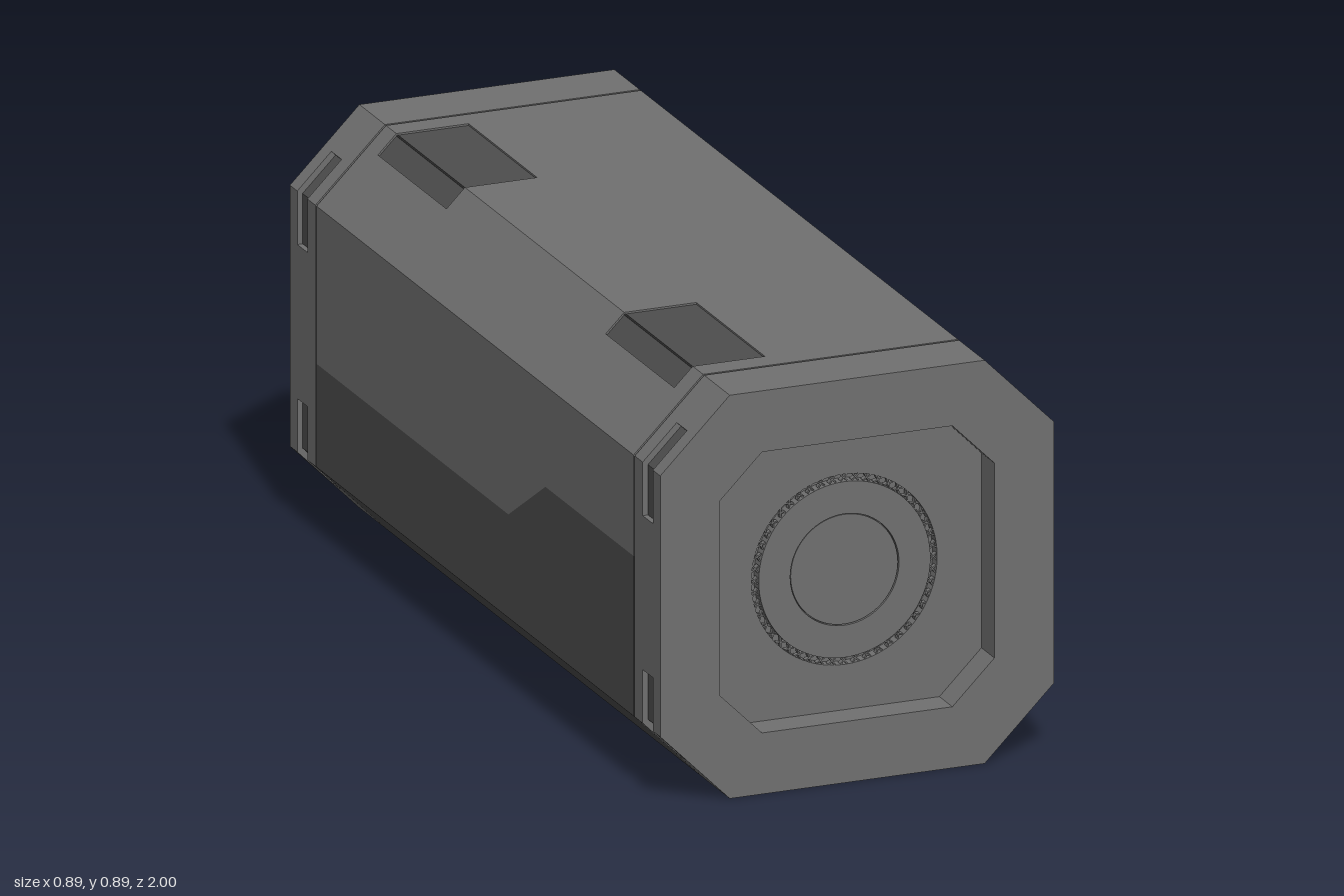
import * as THREE from 'three';
import { mergeGeometries } from 'three/addons/utils/BufferGeometryUtils.js';

const H = 0.445, C = 0.288, LOW = 0.157, HIGH = 0.733, END = 0.856;
const material = (color) => new THREE.MeshStandardMaterial({ color, flatShading: true });

export function createModel() {
  const model = new THREE.Group();
  const light = material(0x707070), dark = material(0x4e4e4e), glass = material(0xa9c4cc);

  const add = (name, geometry, mat) => {
    const mesh = new THREE.Mesh(geometry, mat);
    mesh.name = name;
    model.add(mesh);
    return mesh;
  };
  const toShape = (pts) => new THREE.Shape(pts.map(([x, y]) => new THREE.Vector2(x, y)));

  // Octagon outline around the long axis, starting at the lower corner of the +x side
  const octagon = (h, c) => [[h, -c], [h, c], [c, h], [-c, h], [-h, c], [-h, -c], [-c, -h], [c, -h]];
  const corners = octagon(H, C);

  // Slab of a cross-section between two depths
  const slab = (name, shape, z0, z1, mat) => {
    const g = new THREE.ExtrudeGeometry(shape, { depth: z1 - z0, bevelEnabled: false, curveSegments: 40 });
    g.translate(0, H, z0);
    return add(name, g, mat);
  };

  // Plate on one of the eight long faces; points are [z, distance round the outline from the face's first corner]
  const faceLength = (face) => (face % 2 ? (H - C) * Math.SQRT2 : 2 * C);
  const panel = (name, face, pts, mat, { inset = 0, thick = 0.025, holes = [] } = {}) => {
    const flip = (list) => list.map(([z, v]) => [-z, v]);
    const shape = toShape(flip(pts));
    shape.holes = holes.map((h) => toShape(flip(h)));
    const g = new THREE.ExtrudeGeometry(shape, { depth: thick, bevelEnabled: false });
    g.translate(0, 0, -thick - inset);
    const a = face * Math.PI / 4;
    const n = new THREE.Vector3(Math.cos(a), Math.sin(a), 0);
    const v = new THREE.Vector3(-n.y, n.x, 0);
    const m = new THREE.Matrix4().makeBasis(new THREE.Vector3(0, 0, -1), v, n);
    m.setPosition(corners[face][0], corners[face][1] + H, 0);
    return add(name, g.applyMatrix4(m), mat);
  };
  const rect = (z0, z1, v0, v1) => [[z0, v0], [z1, v0], [z1, v1], [z0, v1]];

  // Inner core, seen only in the seams and cut-outs
  slab('core', toShape(octagon(H - 0.02, C - 0.012)), -0.87, 0.87, light);

  // Side panels: light above, dark below a stepped edge
  const step = [[-END, 0.385], [0.18, 0.385], [0.38, 0.51]];
  const vents = [[0.445, 0.525], [0.56, 0.545], [0.675, 0.565], [0.79, 0.59]];
  const upperVents = vents.flatMap(([a, peak]) => [[a - 0.06, 0.51], [a - 0.06, 0.515], [a, peak], [a, 0.51]]);
  const lowerVents = vents.flatMap(([a]) => [[a - 0.06, 0.51], [a - 0.06, 0.4], [a, 0.4], [a, 0.51]]);
  const upper = (cuts) => [[END, HIGH], [-END, HIGH], ...step, ...cuts, [END, 0.51]];
  const lower = (cuts) => [[END, LOW], [-END, LOW], ...step, ...cuts, [END, 0.51]];
  const onRight = (pts) => pts.map(([z, y]) => [z, y - LOW]);
  const onLeft = (pts) => pts.map(([z, y]) => [z, HIGH - y]);
  const windowOutline = onRight([[0.315, 0.665], [-0.765, 0.665], [-0.775, 0.66], [-0.78, 0.65], [-0.78, 0.49],
    [-0.775, 0.48], [-0.765, 0.475], [0.135, 0.475], [0.155, 0.48], [0.17, 0.49], [0.315, 0.648], [0.322, 0.658]]);
  panel('upperSidePanelLeft', 0, onRight(upper(upperVents)), light, { holes: [windowOutline] });
  panel('lowerSidePanelLeft', 0, onRight(lower(lowerVents)), dark);
  panel('ventFloor', 0, onRight(lower([])), dark, { inset: 0.015, thick: 0.01 });
  panel('sideWindow', 0, windowOutline, glass, { inset: 0.004, thick: 0.018 });
  panel('upperSidePanelRight', 4, onLeft(upper([])), light);
  panel('lowerSidePanelRight', 4, onLeft(lower([])), dark);

  // Upper sloped panel with a row of tapering notches
  const notches = [[0.69, 0.49, 0.165], [0.41, 0.22, 0.137], [0.13, -0.05, 0.135], [-0.15, -0.32, 0.133], [-0.43, -0.6, 0.131]]
    .map(([a, b, v]) => [[a, 0.116], [a, v], [b, 0.116]]);
  panel('upperSlopeLeft', 1, rect(-END, END, 0, faceLength(1)), light, { holes: notches });

  // Top and the other sloped panel share two dark pads that fold over their edge
  const top = faceLength(2), slope = faceLength(3), padTop = top - 0.163, padSlope = 0.059;
  const pads = [[-0.8, -0.43], [0.43, 0.8]];
  const padCuts = (edge, into) => pads.flatMap(([a, b]) => [[a, edge], [a, into], [b, into], [b, edge]]);
  panel('topPanel', 2, [[END, 0], [-END, 0], [-END, top], ...padCuts(top, padTop), [END, top]], light);
  panel('upperSlopeRight', 3, [[END, slope], [-END, slope], [-END, 0], ...padCuts(0, padSlope), [END, 0]], light);
  for (const [a, b] of pads) {
    panel('padTop', 2, rect(a, b, padTop, top), dark, { inset: 0.004, thick: 0.02 });
    panel('padSlope', 3, rect(a, b, 0, padSlope), dark, { inset: 0.004, thick: 0.02 });
  }

  // Dark underside
  for (const face of [5, 6, 7]) panel('undersidePanel', face, rect(-END, END, 0, faceLength(face)), dark);

  // End caps: the middle slab is notched at the corners to form slots
  const quarter = [[H, 0.17], [H - 0.02, 0.17], [H - 0.02, C - 0.008], [0.354, 0.351], [0.368, 0.365], [C, H]];
  const mirror = (pts, sx, sy) => pts.map(([x, y]) => [x * sx, y * sy]);
  const back = [...quarter].reverse();
  const notched = [...quarter, ...mirror(back, -1, 1), ...mirror(quarter, -1, -1), ...mirror(back, 1, -1)];
  const recess = octagon(0.31, 0.215);
  const ring = (pts, hole) => {
    const s = toShape(pts);
    if (hole) s.holes.push(toShape(hole));
    return s;
  };
  const cap = (name, side, hole) => {
    const part = (label, shape, a, b, mat) =>
      slab(name + label, shape, Math.min(a * side, b * side), Math.max(a * side, b * side), mat);
    part('Inner', ring(corners), 0.862, 0.905, light);
    part('Slotted', ring(notched, hole), 0.905, 0.96, light);
    part('SlotFloors', ring(octagon(H - 0.012, C - 0.007), hole && octagon(0.33, 0.23)), 0.905, 0.96, dark);
    part('Outer', ring(corners, hole), 0.96, 1, light);
  };
  cap('frontCap', 1, recess);
  cap('backCap', -1);

  // Front recess floor with a round dial set in a grooved ring
  const disc = (r, holeRadius) => {
    const s = new THREE.Shape().absarc(0, 0, r, 0, Math.PI * 2);
    if (holeRadius) s.holes.push(new THREE.Path().absarc(0, 0, holeRadius, 0, Math.PI * 2));
    return s;
  };
  const floor = toShape(octagon(0.315, 0.218));
  floor.holes.push(new THREE.Path().absarc(0, 0, 0.21, 0, Math.PI * 2));
  slab('recessFloor', floor, 0.9, 0.93, light);
  slab('dialRing', disc(0.194, 0.123), 0.9, 0.932, light);
  slab('dialCentre', disc(0.121), 0.9, 0.93, light);
  slab('dialSeam', disc(0.125), 0.9, 0.922, dark);

  // Crossed bars in the ring groove
  const bars = [];
  for (let i = 0; i < 48; i++) {
    for (const tilt of [-1, 1]) {
      const bar = new THREE.BoxGeometry(0.021, 0.003, 0.012);
      bar.rotateZ(tilt * Math.PI / 4).translate(0.202, 0, 0.922);
      bars.push(bar.rotateZ(i * Math.PI / 24).translate(0, H, 0));
    }
  }
  add('knurledRing', mergeGeometries(bars), light);

  return model;
}
